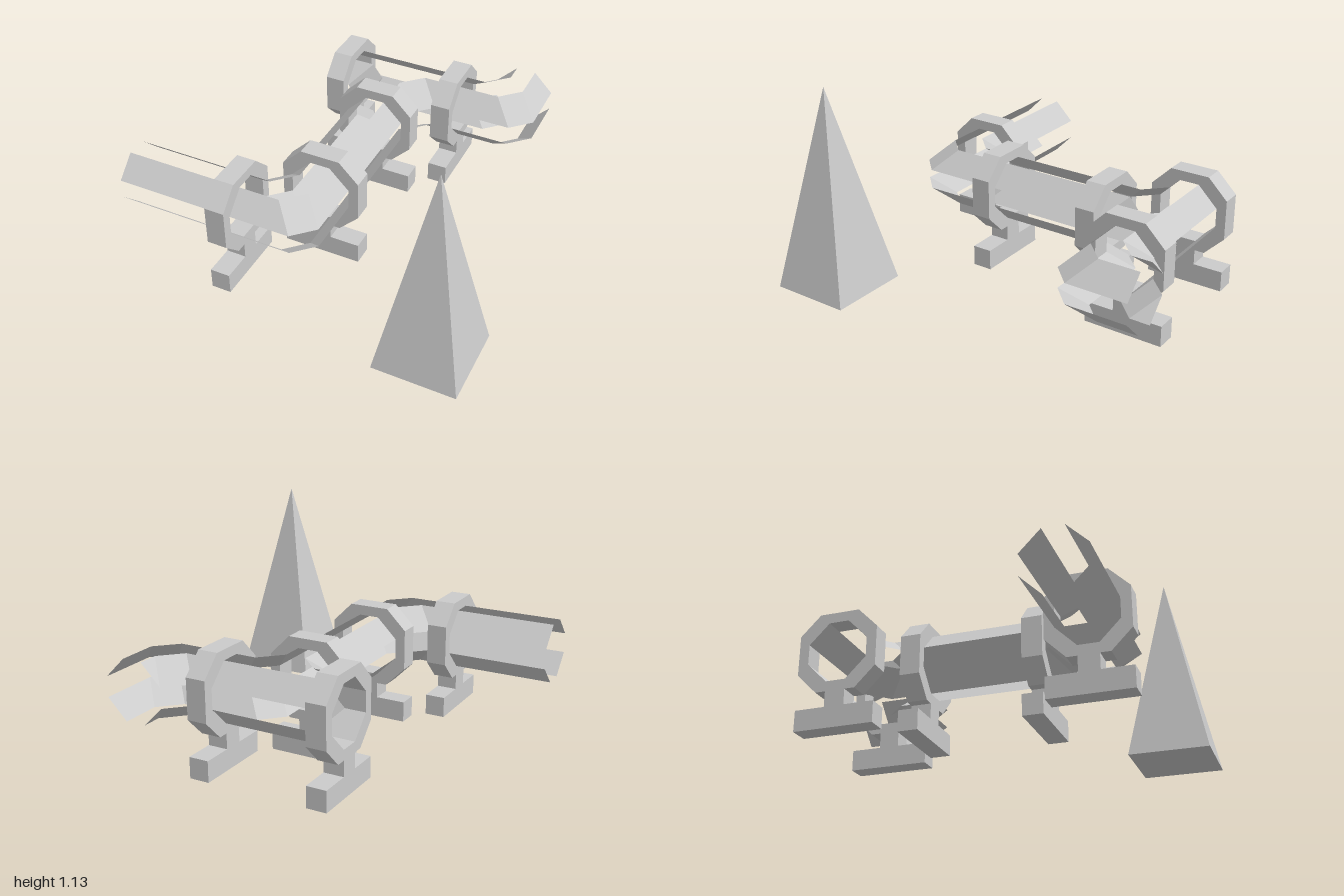
import * as THREE from 'three';

const MID_Y = 0.42;   // height of the tube's centre line
const FLAT = 0.055;   // inner octagon: half length of the flat sides
const HALF = 0.165;   // inner octagon: half width
const THICK = 0.11;   // ring and stand depth

const solid = new THREE.MeshStandardMaterial({ color: 0xcccccc, flatShading: true });
const sheet = new THREE.MeshStandardMaterial({ color: 0xcccccc, flatShading: true, side: THREE.DoubleSide });

function addMesh(parent, name, geometry, material = solid) {
  const mesh = new THREE.Mesh(geometry, material);
  mesh.name = name;
  parent.add(mesh);
  return mesh;
}

// Square with chamfered corners
function octagon(half, flat) {
  return [
    [half, -flat], [half, flat], [flat, half], [-flat, half],
    [-half, flat], [-half, -flat], [-flat, -half], [flat, -half],
  ].map(([x, y]) => new THREE.Vector2(x, y));
}

// Octagonal ring on a short neck and a foot
function makeSupport(x, z, turned) {
  const support = new THREE.Group();
  support.name = 'ringSupport';

  const shape = new THREE.Shape(octagon(0.22, 0.11));
  shape.holes.push(new THREE.Path(octagon(HALF, FLAT).reverse()));
  const ring = new THREE.ExtrudeGeometry(shape, { depth: THICK, bevelEnabled: false });
  ring.translate(0, MID_Y, -THICK / 2);
  addMesh(support, 'ring', ring);

  addMesh(support, 'neck', new THREE.BoxGeometry(0.11, 0.09, THICK)).position.y = 0.157;
  addMesh(support, 'foot', new THREE.BoxGeometry(0.44, 0.115, THICK)).position.y = 0.0575;

  support.position.set(x, 0, z);
  if (turned) support.rotation.y = Math.PI / 2;
  return support;
}

// Slanted strip between two [x, z] paths at different heights
function stripGeometry(pathA, yA, pathB, yB) {
  const a = pathA.map(([x, z]) => new THREE.Vector3(x, yA, z));
  const b = pathB.map(([x, z]) => new THREE.Vector3(x, yB, z));
  const points = [];
  const triangle = (p, q, r) => {
    if (new THREE.Triangle(p, q, r).getArea() > 1e-6) points.push(p, q, r);
  };
  for (let i = 0; i < a.length - 1; i++) {
    triangle(a[i], b[i], b[i + 1]);
    triangle(a[i], b[i + 1], a[i + 1]);
  }
  const geometry = new THREE.BufferGeometry().setFromPoints(points);
  geometry.computeVertexNormals();
  return geometry;
}

// Tube edge paths; o is the sideways distance from the centre line
const frontBend = (o) => [[-1, 0.61 + o], [-0.165 + o, 0.61 + o], [-0.055 + o, 0.5 + o]];
const backBend = (o) => [[0.5 + o, -0.725 + o], [0.61 + o, -0.835 + o], [0.61 + o, -1]];

const paths = {
  // front run, along the stem, then off to the right-hand exit
  outerPanel: (d) => [
    ...frontBend(d), [-0.055 + d, -0.615 + d], [0.055 + d, -0.725 + d], ...backBend(d),
  ],
  // front run, along the stem, then off to the short open arm
  innerPanel: (d) => [
    ...frontBend(-d), [-0.055 - d, -0.615 + d], [-0.165 - d, -0.725 + d], [-0.44, -0.725 + d],
  ],
  // straight across the back of the junction
  backPanel: (d) => [[-0.44, -0.725 - d], ...backBend(-d)],
};

export function createModel() {
  const model = new THREE.Group();
  model.name = 'tubeTrack';

  // Upper and lower slanted panels of the tube
  const tube = new THREE.Group();
  tube.name = 'tubePanels';
  for (const [name, path] of Object.entries(paths)) {
    for (const s of [1, -1]) {
      const geometry = stripGeometry(path(FLAT), MID_Y + s * HALF, path(HALF), MID_Y + s * FLAT);
      addMesh(tube, name + (s > 0 ? 'Upper' : 'Lower'), geometry, sheet);
    }
  }
  model.add(tube);

  // Supports: x, z, whether the tube runs along x there
  const supports = [
    [-0.39, 0.61, true], [-0.055, 0.275, false], [-0.055, -0.39, false],
    [-0.39, -0.725, true], [0.275, -0.725, true],
  ];
  for (const [x, z, turned] of supports) model.add(makeSupport(x, z, turned));

  // Tall square pyramid
  const pyramid = new THREE.ConeGeometry(0.2225 * Math.SQRT2, 1.105, 4);
  pyramid.rotateY(Math.PI / 4);
  addMesh(model, 'pyramid', pyramid).position.set(0.7775, 0.03 + 1.105 / 2, 0.7775);

  return model;
}
